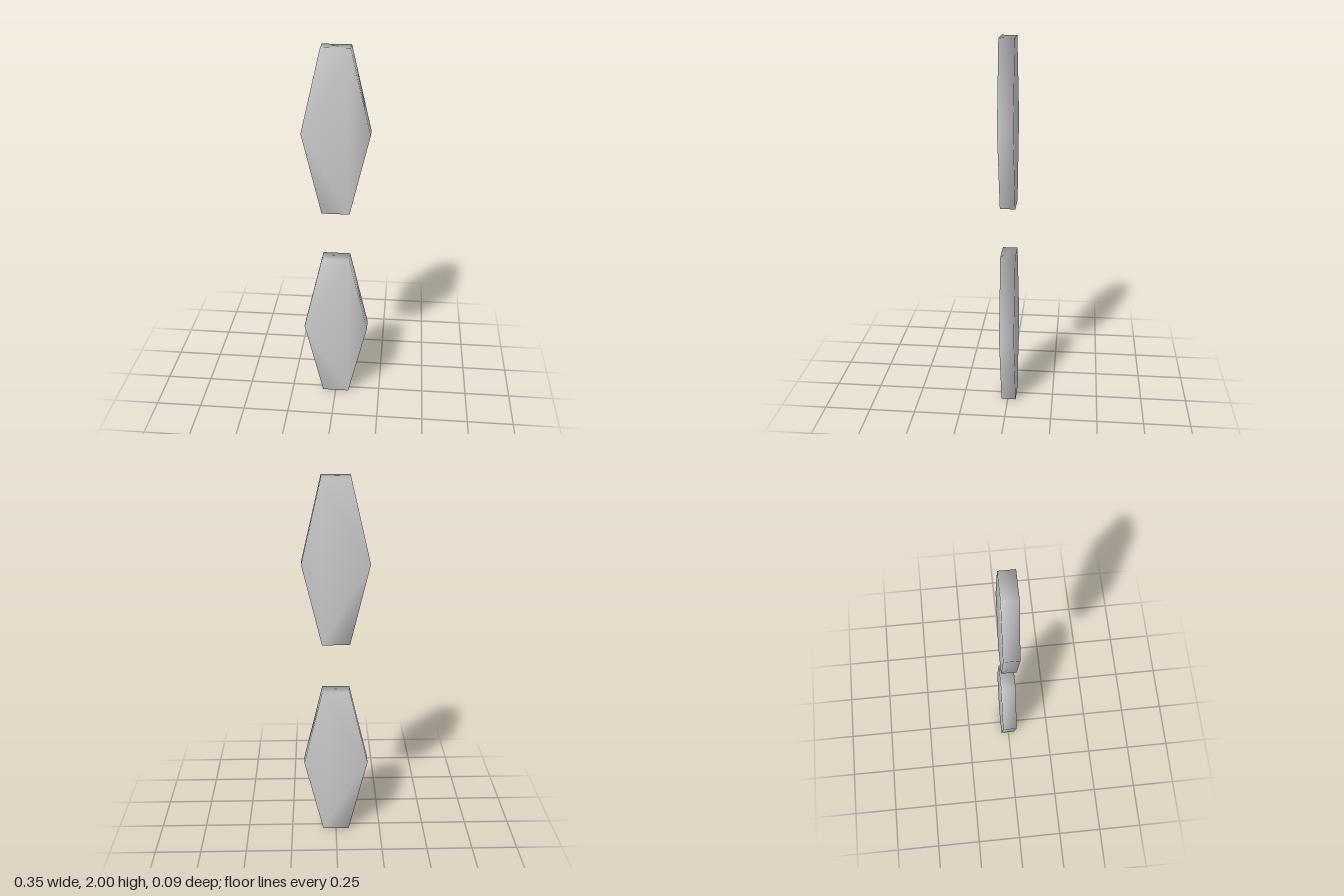
import * as THREE from 'three';
import { mergeVertices } from 'three/addons/utils/BufferGeometryUtils.js';

const HALF_HEIGHT = 0.4325;
const HALF_WIDTH = 0.175;
const END_HALF_WIDTH = 0.073;
const THICKNESS = 0.08;
const LEAN = 0.0045; // forward drift per unit of height

// Elongated hexagonal plate with shared, softly shaded corners
function plateGeometry(centreY) {
  const shape = new THREE.Shape([
    [END_HALF_WIDTH, -HALF_HEIGHT], [HALF_WIDTH, 0], [END_HALF_WIDTH, HALF_HEIGHT],
    [-END_HALF_WIDTH, HALF_HEIGHT], [-HALF_WIDTH, 0], [-END_HALF_WIDTH, -HALF_HEIGHT],
  ].map(([x, y]) => new THREE.Vector2(x, y)));
  let geometry = new THREE.ExtrudeGeometry(shape, { depth: THICKNESS, bevelEnabled: false });
  geometry.translate(0, centreY, -THICKNESS / 2);

  // Lean both plates along one common line
  const p = geometry.attributes.position;
  for (let i = 0; i < p.count; i++) p.setZ(i, p.getZ(i) + (p.getY(i) - 1) * LEAN);

  geometry.deleteAttribute('normal');
  geometry.deleteAttribute('uv');
  geometry = mergeVertices(geometry);
  geometry.computeVertexNormals();
  return geometry;
}

export function createModel() {
  const model = new THREE.Group();
  model.name = 'hexagonalPlatePair';
  const material = new THREE.MeshStandardMaterial({ color: 0xcccccc });
  const plates = { lowerPlate: HALF_HEIGHT, upperPlate: 2 - HALF_HEIGHT };
  for (const [name, centreY] of Object.entries(plates)) {
    const plate = new THREE.Mesh(plateGeometry(centreY), material);
    plate.name = name;
    model.add(plate);
  }
  return model;
}
